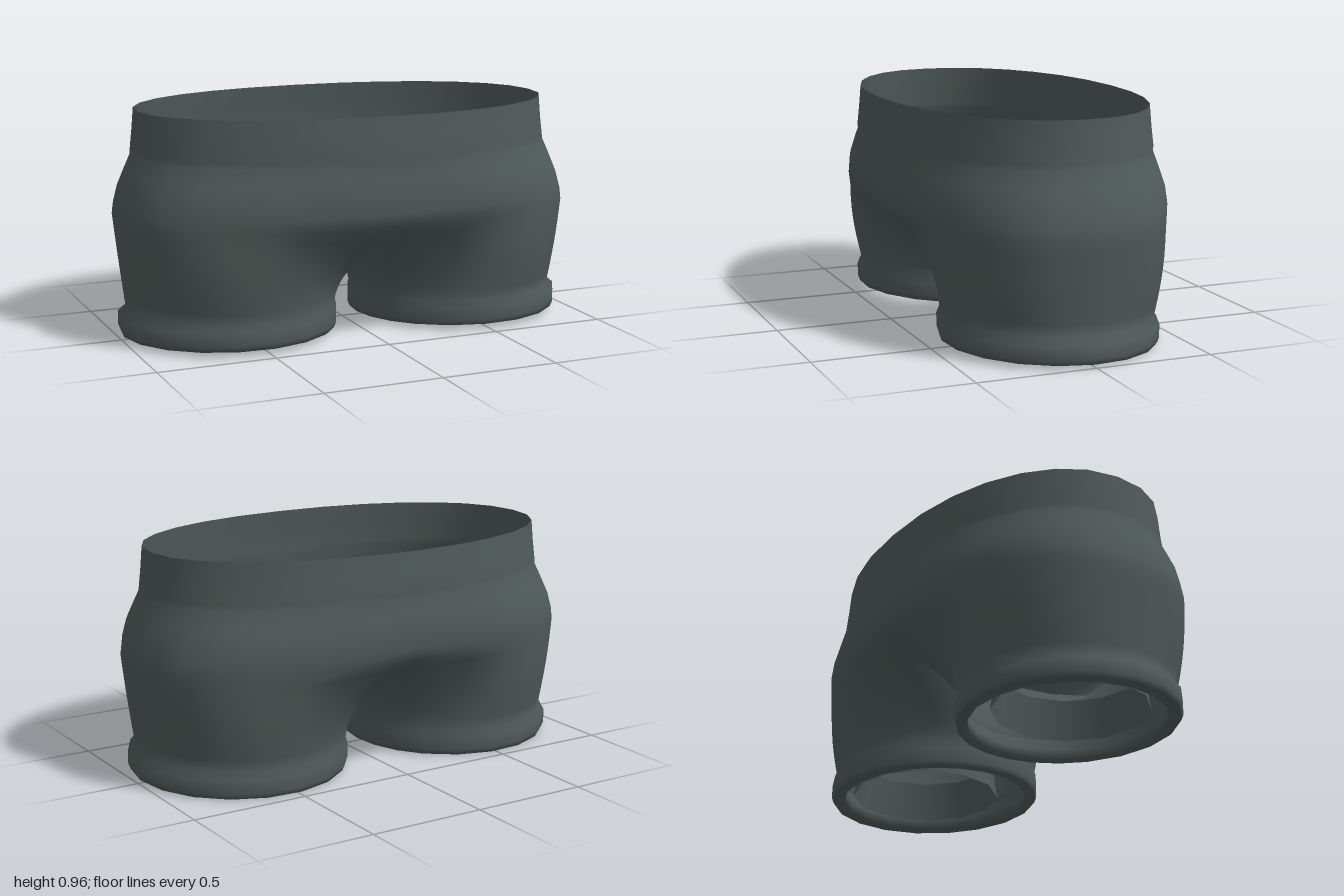
import * as THREE from 'three';
import { mergeVertices } from 'three/addons/utils/BufferGeometryUtils.js';

const OUT = 14, IN = 6, LOOP = OUT + IN; // segments on the outer and the inner thigh
const pow = (v, e) => Math.sign(v) * Math.abs(v) ** e;

// Half of a waist ring, from centre front round the hip to centre back
function torsoRow([y, a, b, n]) {
  return Array.from({ length: OUT + 1 }, (_, i) => {
    const t = (i / OUT) * Math.PI;
    const x = i % OUT ? a * pow(Math.sin(t), 2 / n) : 0;
    return [x, y, b * pow(Math.cos(t), 2 / n)];
  });
}

// Full leg ring, starting at the inner front; the hem drops a little to the back
function legRow([y, cx, rx, rz]) {
  return Array.from({ length: LOOP }, (_, i) => {
    const deg = i <= OUT ? -45 + (270 * i) / OUT : 225 + (90 * (i - OUT)) / IN;
    const t = THREE.MathUtils.degToRad(deg);
    const z = rz * Math.cos(t);
    return [cx + rx * Math.sin(t), y + 0.025 * z, z];
  });
}

// Joins rows of points into quads
function addGrid(rows, closed, pos, index, side) {
  const base = pos.length / 3, n = rows[0].length;
  rows.forEach((row) => row.forEach(([x, y, z]) => pos.push(x * side, y, z)));
  for (let r = 0; r < rows.length - 1; r++) {
    for (let i = 0; i < (closed ? n : n - 1); i++) {
      const a = base + r * n + i, b = base + r * n + ((i + 1) % n);
      const c = a + n, d = b + n;
      if (side > 0) index.push(a, c, b, b, c, d);
      else index.push(a, b, c, b, d, c);
    }
  }
}

function shortsGeometry() {
  // Waistband, hip bulge: height, half width, half depth, roundness
  const torso = [
    [0.96, 0.91, 0.535, 2.15], [0.87, 0.918, 0.543, 2.15], [0.79, 0.926, 0.55, 2.17],
    [0.765, 0.926, 0.545, 2.2], [0.7, 0.952, 0.557, 2.3],
    [0.63, 0.978, 0.566, 2.42], [0.56, 0.994, 0.563, 2.52], [0.51, 1, 0.552, 2.58],
  ].map(torsoRow);

  // Top of the leg: hip row closed by the crotch curve
  const hip = torso[torso.length - 1];
  const top = hip.map((p) => [...p]);
  for (let k = 1; k < IN; k++) {
    const s = (k / IN) * Math.PI;
    top.push([0, 0.51 - 0.12 * Math.sin(s) ** 0.8, -0.552 * Math.cos(s)]);
  }

  // Thigh blends from the hip loop to the round cuff, tucking in fast beside the crotch
  const cuff = legRow([0.12, 0.517, 0.448, 0.44]);
  const legs = [];
  for (let r = 0; r <= 8; r++) {
    const t = r / 8;
    legs.push(top.map((p, i) => {
      const fromCorner = Math.min(i, LOOP - i, Math.abs(i - OUT));
      const tuck = Math.max(0, 1 - fromCorner / 3);
      const s = 1 - (1 - t) ** (1 + 1.2 * tuck);
      const bulge = i < OUT ? 1 + 0.035 * (1 - tuck) * Math.sin(Math.PI * t) : 1;
      const q = cuff[i];
      return [
        p[0] + (q[0] - p[0]) * s,
        p[1] + (q[1] - p[1]) * t,
        (p[2] + (q[2] - p[2]) * s) * bulge,
      ];
    }));
  }
  // Rolled hem and the inside of the cuff: height, centre, radii
  legs.push(...[
    [0.092, 0.53, 0.468, 0.457], [0.035, 0.53, 0.468, 0.455],
    [0.013, 0.53, 0.458, 0.447], [0.016, 0.525, 0.41, 0.402],
    [0.06, 0.52, 0.412, 0.403], [0.11, 0.517, 0.425, 0.415],
  ].map(legRow));

  const pos = [], index = [];
  for (const side of [1, -1]) {
    addGrid(torso, false, pos, index, side);
    addGrid(legs, true, pos, index, side);
  }
  const g = new THREE.BufferGeometry();
  g.setAttribute('position', new THREE.Float32BufferAttribute(pos, 3));
  g.setIndex(index);
  const merged = mergeVertices(g, 1e-4);
  merged.computeVertexNormals();
  return merged;
}

export function createModel() {
  const group = new THREE.Group();
  group.name = 'shorts';
  const cloth = new THREE.MeshStandardMaterial({ color: 0x4f5a58, side: THREE.DoubleSide });
  cloth.name = 'darkGreyCloth';

  const shell = new THREE.Mesh(shortsGeometry(), cloth);
  shell.name = 'shortsShell';
  group.add(shell);

  // Loose lining tube inside each leg
  for (const side of [1, -1]) {
    const lining = new THREE.Mesh(new THREE.CylinderGeometry(0.298, 0.322, 0.17, 12, 1, true), cloth);
    lining.name = side > 0 ? 'leftLegLining' : 'rightLegLining';
    lining.position.set(side * 0.577, 0.13, -0.02);
    group.add(lining);
  }
  return group;
}
